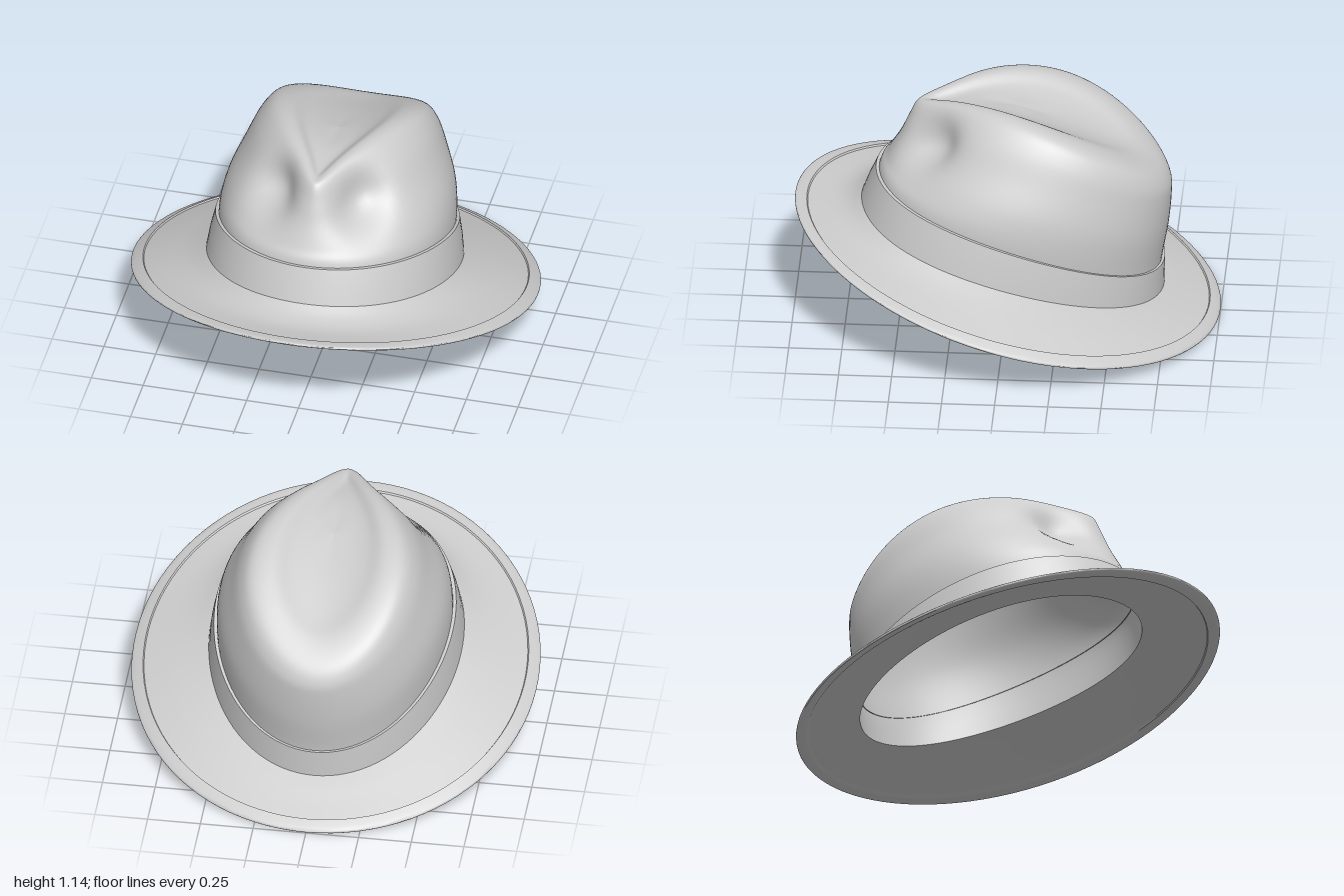
import * as THREE from 'three';
import { toCreasedNormals } from 'three/addons/utils/BufferGeometryUtils.js';

const SEG = 96;
const material = new THREE.MeshStandardMaterial({ color: 0xcccccc, side: THREE.DoubleSide });

// A ring is [half width, front z, back z, front y, back y, side lift, front narrowing].
function ringPoint([w, zF, zB, yF, yB, lift, pinch], angle) {
  const c = Math.cos(angle), s = Math.sin(angle), f = (1 + c) / 2;
  return new THREE.Vector3(
    w * s * (1 - pinch * f * f),
    zOrY(yF, yB, f) + lift * s * s,
    zOrY(zF, zB, f)
  );
}
const zOrY = (front, back, f) => back + (front - back) * f;

// Smoothly adds rings between the given ones.
function smoothRings(rows, steps) {
  const out = [];
  const at = (i) => rows[Math.min(Math.max(i, 0), rows.length - 1)];
  for (let i = 0; i < rows.length - 1; i++) {
    for (let k = 0; k < steps; k++) {
      const t = k / steps;
      out.push(rows[i].map((p1, n) => {
        const p0 = at(i - 1)[n], p2 = at(i + 1)[n], p3 = at(i + 2)[n];
        return p1 + 0.5 * t * (p2 - p0 + t * (2 * p0 - 5 * p1 + 4 * p2 - p3 + t * (3 * (p1 - p2) + p3 - p0)));
      }));
    }
  }
  out.push(rows[rows.length - 1]);
  return out;
}

// Skins a stack of closed rings.
function loft(rows, deform = (p) => p) {
  const positions = [], index = [];
  rows.forEach((row, i) => {
    for (let j = 0; j < SEG; j++) {
      const p = deform(ringPoint(row, (j / SEG) * Math.PI * 2));
      positions.push(p.x, p.y, p.z);
      if (i === rows.length - 1) continue;
      const a = i * SEG + j, b = i * SEG + (j + 1) % SEG;
      index.push(a, b, b + SEG, a, b + SEG, a + SEG);
    }
  });
  const geometry = new THREE.BufferGeometry();
  geometry.setAttribute('position', new THREE.Float32BufferAttribute(positions, 3));
  geometry.setIndex(index);
  geometry.computeVertexNormals();
  return geometry;
}

// Presses a finger dent into each side of the crown front.
function pinchFront(p) {
  const dx = (Math.abs(p.x) - 0.22) / 0.12, dy = (p.y - 0.95) / 0.14, dz = (p.z - 0.36) / 0.15;
  const d = Math.exp(-dx * dx - dy * dy - dz * dz);
  p.x -= Math.sign(p.x) * 0.05 * d;
  p.y -= 0.03 * d;
  p.z -= 0.08 * d;
  return p;
}

export function createModel() {
  const hat = new THREE.Group();
  hat.name = 'hat';
  const add = (name, geometry) => {
    const mesh = new THREE.Mesh(geometry, material);
    mesh.name = name;
    hat.add(mesh);
  };

  // Crown: wall, teardrop ridge, then the shallow dish on top
  const crownRows = [
    [0.515, 0.64, -0.715, 0.54, 0.14, 0.03, -0.1],
    [0.54, 0.605, -0.725, 0.73, 0.28, 0.06, -0.08],
    [0.535, 0.565, -0.755, 0.80, 0.46, 0.10, 0.03],
    [0.49, 0.51, -0.77, 0.90, 0.62, 0.13, 0.2],
    [0.45, 0.47, -0.765, 0.99, 0.70, 0.17, 0.4],
    [0.40, 0.43, -0.72, 1.07, 0.775, 0.17, 0.65],
    [0.30, 0.385, -0.62, 1.085, 0.85, 0.145, 0.75],
    [0.20, 0.31, -0.50, 1.08, 0.90, 0.09, 0.7],
    [0.10, 0.14, -0.28, 1.09, 0.99, 0.025, 0.4],
    [0, -0.06, -0.06, 1.06, 1.06, 0, 0]
  ];
  add('crown', loft(smoothRings(crownRows, 6), pinchFront));

  // Brim: underside from the head opening outwards, rolled edge, upper side back in
  const under = [
    [0.515, 0.64, -0.715, 0.54, 0.14, 0.03, -0.1],
    [0.60, 0.70, -0.76, 0.525, 0.115, 0.03, -0.06],
    [0.78, 0.83, -0.86, 0.51, 0.06, 0.015, 0],
    [0.90, 0.94, -0.945, 0.535, 0.02, -0.015, 0]
  ];
  const upper = [
    [0.90, 0.94, -0.945, 0.552, 0.04, -0.015, 0],
    [0.78, 0.83, -0.86, 0.53, 0.08, 0.015, 0],
    [0.68, 0.75, -0.79, 0.54, 0.115, 0.025, -0.03],
    [0.575, 0.68, -0.725, 0.575, 0.145, 0.03, -0.1]
  ];
  const edge = [
    [0.905, 0.945, -0.95, 0.53, 0.013, -0.015, 0],
    [0.95, 0.99, -0.99, 0.551, 0.001, -0.03, 0],
    [0.96, 1.0, -1.0, 0.562, 0.008, -0.03, 0],
    [0.95, 0.99, -0.99, 0.568, 0.022, -0.03, 0],
    [0.905, 0.945, -0.95, 0.56, 0.047, -0.015, 0]
  ];
  add('brim', toCreasedNormals(
    loft([...smoothRings(under, 5), ...smoothRings(edge, 3), ...smoothRings(upper, 5)]), 0.7));

  // Band: standing slightly proud of the crown, with a thin top lip
  add('band', toCreasedNormals(loft([
    [0.58, 0.69, -0.735, 0.565, 0.135, 0.03, -0.12],
    [0.57, 0.655, -0.737, 0.655, 0.21, 0.045, -0.1],
    [0.555, 0.62, -0.738, 0.732, 0.28, 0.06, -0.08],
    [0.535, 0.60, -0.72, 0.73, 0.28, 0.06, -0.08]
  ]), 0.6));

  return hat;
}
